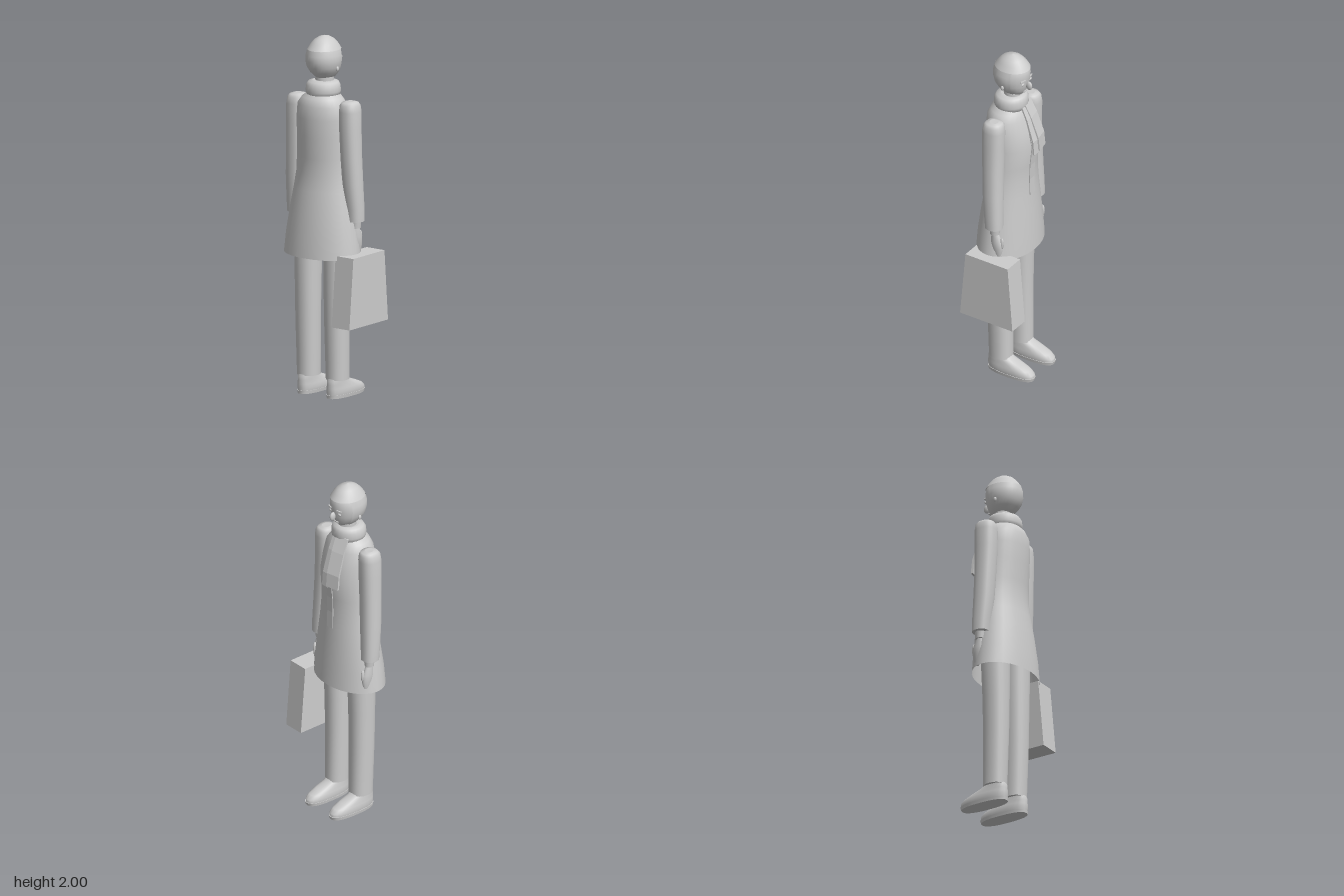
import * as THREE from 'three';

const clothGrey = new THREE.MeshStandardMaterial({ color: 0xcccccc, side: THREE.DoubleSide });
clothGrey.name = 'plainGrey';
const CX = -0.02; // the figure's own centre line

// Oval rings [y, centreX, halfWidth, zBack, zFront] from bottom to top, joined into a skin.
// power < 1 gives boxier ovals; from/sweep cut the skin open around the vertical.
function loft(rings, { n = 24, power = 1, from = 0, sweep = Math.PI * 2, caps = true } = {}) {
  const pos = [], idx = [];
  const full = sweep > 6.28;
  const cols = full ? n : n + 1;
  const bend = v => Math.sign(v) * Math.abs(v) ** power;
  const addRing = ([y, cx, rx, zb, zf]) => {
    for (let j = 0; j < cols; j++) {
      const a = from + sweep * j / n;
      pos.push(cx + rx * bend(Math.sin(a)), y, (zb + zf) / 2 + (zb - zf) / 2 * bend(Math.cos(a)));
    }
  };
  rings.forEach(addRing);
  for (let i = 0; i < rings.length - 1; i++) {
    for (let j = 0; j < n; j++) {
      const k = (j + 1) % cols;
      const a = i * cols + j, b = i * cols + k, c = b + cols, d = a + cols;
      idx.push(a, b, c, a, c, d);
    }
  }
  if (caps && full) {
    [rings[0], rings[rings.length - 1]].forEach((r, end) => {
      const s = pos.length / 3;
      addRing(r);
      pos.push(r[1], r[0], (r[3] + r[4]) / 2);
      for (let j = 0; j < n; j++) {
        const k = (j + 1) % n;
        if (end) idx.push(s + j, s + k, s + n);
        else idx.push(s + k, s + j, s + n);
      }
    });
  }
  const g = new THREE.BufferGeometry();
  g.setAttribute('position', new THREE.Float32BufferAttribute(pos, 3));
  g.setIndex(idx);
  g.computeVertexNormals();
  return g;
}

// A cloth strip from a side profile of [z, y] points, spread from x0 down to x0 - width
function strip(profile, x0, width, thick) {
  const back = profile.map(([z, y]) => [z + thick, y]).reverse();
  const shape = new THREE.Shape([...profile, ...back].map(p => new THREE.Vector2(...p)));
  const g = new THREE.ExtrudeGeometry(shape, { depth: width, bevelEnabled: false });
  return g.rotateY(-Math.PI / 2).translate(x0, 0, 0);
}

export function createModel() {
  const model = new THREE.Group();
  const add = (name, geometry, parent = model) => {
    const m = new THREE.Mesh(geometry, clothGrey);
    m.name = name;
    parent.add(m);
    return m;
  };
  const ball = (name, x, y, z, sx, sy, sz) =>
    add(name, new THREE.SphereGeometry(1, 12, 8).scale(sx, sy, sz).translate(x, y, z));

  // Coat, open at the hem
  add('coat', loft([
    [0.785, CX, 0.235, 0.19, -0.132],
    [0.90, CX, 0.222, 0.183, -0.127],
    [1.05, CX, 0.198, 0.165, -0.118],
    [1.15, CX, 0.18, 0.15, -0.112],
    [1.24, CX, 0.167, 0.138, -0.109],
    [1.33, CX, 0.162, 0.14, -0.112],
    [1.45, CX, 0.16, 0.148, -0.125],
    [1.55, CX, 0.156, 0.151, -0.105],
    [1.62, CX, 0.147, 0.147, -0.085],
    [1.66, CX, 0.118, 0.13, -0.07],
    [1.69, CX, 0.08, 0.10, -0.05],
  ], { n: 28, caps: false }));
  add('coatPlacket', strip([[-0.09, 1.62], [-0.108, 1.55], [-0.128, 1.45], [-0.115, 1.33],
    [-0.112, 1.24], [-0.115, 1.14]], CX + 0.022, 0.045, 0.008));

  // Scarf around the neck with two hanging ends
  add('scarf', loft([
    [1.665, CX, 0.075, 0.095, -0.05],
    [1.672, CX, 0.092, 0.112, -0.066],
    [1.695, CX, 0.098, 0.118, -0.071],
    [1.725, CX, 0.096, 0.115, -0.069],
    [1.745, CX, 0.085, 0.102, -0.06],
    [1.752, CX, 0.06, 0.08, -0.04],
  ]));
  add('scarfEndInner', strip([[-0.062, 1.70], [-0.098, 1.62], [-0.138, 1.49], [-0.145, 1.41]], 0.008, 0.045, 0.01));
  const outer = strip([[-0.06, 1.70], [-0.098, 1.62], [-0.14, 1.50], [-0.148, 1.42]], 0.04, 0.08, 0.012);
  add('scarfEndOuter', outer.rotateY(0.2).translate(-0.045, 0, 0));

  // Neck and head
  add('neck', new THREE.CylinderGeometry(0.05, 0.052, 0.1, 20).translate(CX, 1.745, 0.012));
  const skull = [
    [1.762, 0.035, 0.05, -0.05],
    [1.775, 0.055, 0.073, -0.064],
    [1.80, 0.077, 0.098, -0.077],
    [1.83, 0.092, 0.117, -0.085],
    [1.865, 0.098, 0.125, -0.09],
    [1.895, 0.096, 0.125, -0.092],
    [1.925, 0.087, 0.117, -0.088],
    [1.955, 0.070, 0.097, -0.069],
    [1.978, 0.050, 0.074, -0.046],
    [1.993, 0.026, 0.045, -0.018],
    [2.0, 0.001, 0.015, 0.013],
  ];
  const headRings = grow => skull.map(([y, rx, zb, zf]) => [y, CX, rx + grow, zb + grow, zf - grow]);
  add('face', loft(headRings(-0.005).slice(0, 8)));
  add('hairTop', loft(headRings(0).slice(6), { caps: false }));
  add('hairBack', loft(headRings(0).slice(0, 7), { n: 20, from: -1.98, sweep: 3.96 }));

  // Facial features, on the -z side
  ball('nose', CX, 1.83, -0.092, 0.011, 0.026, 0.02);
  add('mouth', new THREE.BoxGeometry(0.036, 0.006, 0.008).translate(CX, 1.792, -0.07));
  for (const s of [-1, 1]) {
    ball('eye', CX + s * 0.036, 1.85, -0.076, 0.013, 0.007, 0.006);
    const brow = add('eyebrow', new THREE.BoxGeometry(0.032, 0.006, 0.008));
    brow.position.set(CX + s * 0.038, 1.872, -0.079);
    brow.rotation.set(0, -s * 0.35, -s * 0.12);
    ball('ear', CX + s * 0.095, 1.825, 0.02, 0.007, 0.014, 0.01);
  }

  // Arms, hands, legs and shoes, the same on both sides
  for (const s of [-1, 1]) {
    const at = (y, off, rx, zb, zf) => [y, CX + s * off, rx, zb, zf];
    add('sleeve', loft([
      at(0.99, 0.203, 0.048, 0.048, -0.048),
      at(1.06, 0.202, 0.050, 0.054, -0.047),
      at(1.20, 0.194, 0.055, 0.068, -0.043),
      at(1.35, 0.187, 0.057, 0.074, -0.04),
      at(1.50, 0.182, 0.058, 0.08, -0.042),
      at(1.60, 0.181, 0.057, 0.08, -0.044),
      at(1.635, 0.180, 0.052, 0.075, -0.04),
      at(1.65, 0.179, 0.042, 0.062, -0.03),
      at(1.656, 0.179, 0.022, 0.04, -0.008),
    ], { power: 0.85 }));
    add('cuff', loft([at(0.95, 0.203, 0.026, 0.022, -0.032), at(1.0, 0.203, 0.03, 0.026, -0.036)], { n: 16 }));
    add('hand', loft([
      at(0.80, 0.20, 0.008, -0.018, -0.036),
      at(0.815, 0.20, 0.015, -0.005, -0.044),
      at(0.86, 0.202, 0.02, 0.018, -0.053),
      at(0.90, 0.203, 0.022, 0.022, -0.05),
      at(0.955, 0.203, 0.017, 0.014, -0.026),
    ], { n: 16 }));
    ball('thumb', CX + s * 0.2, 0.895, -0.048, 0.009, 0.036, 0.012);

    add('trouserLeg', loft([
      at(0.10, 0.099, 0.06, 0.09, -0.043),
      at(0.20, 0.099, 0.062, 0.093, -0.042),
      at(0.42, 0.099, 0.066, 0.1, -0.04),
      at(0.62, 0.099, 0.069, 0.103, -0.043),
      at(0.80, 0.100, 0.073, 0.105, -0.05),
      at(1.0, 0.098, 0.075, 0.105, -0.055),
    ], { power: 0.9 }));

    add('shoe', loft([
      at(0.018, 0.1, 0.05, 0.098, -0.188),
      at(0.035, 0.1, 0.053, 0.1, -0.188),
      at(0.055, 0.1, 0.05, 0.1, -0.165),
      at(0.075, 0.1, 0.046, 0.098, -0.115),
      at(0.095, 0.1, 0.044, 0.096, -0.055),
      at(0.12, 0.1, 0.042, 0.085, -0.035),
    ], { power: 0.8 }));
    add('shoeSole', loft([at(0, 0.1, 0.05, 0.1, -0.188), at(0.018, 0.1, 0.053, 0.102, -0.193)], { power: 0.8 }));
  }

  // Tapered case held at the model's +x side
  const side = new THREE.Shape([[0.165, 0.42], [0.13, 0.812], [-0.145, 0.812], [-0.176, 0.42]]
    .map(p => new THREE.Vector2(...p)));
  add('case', new THREE.ExtrudeGeometry(side, { depth: 0.122, bevelEnabled: false })
    .rotateY(-Math.PI / 2).translate(0.27, 0, 0));

  return model;
}
